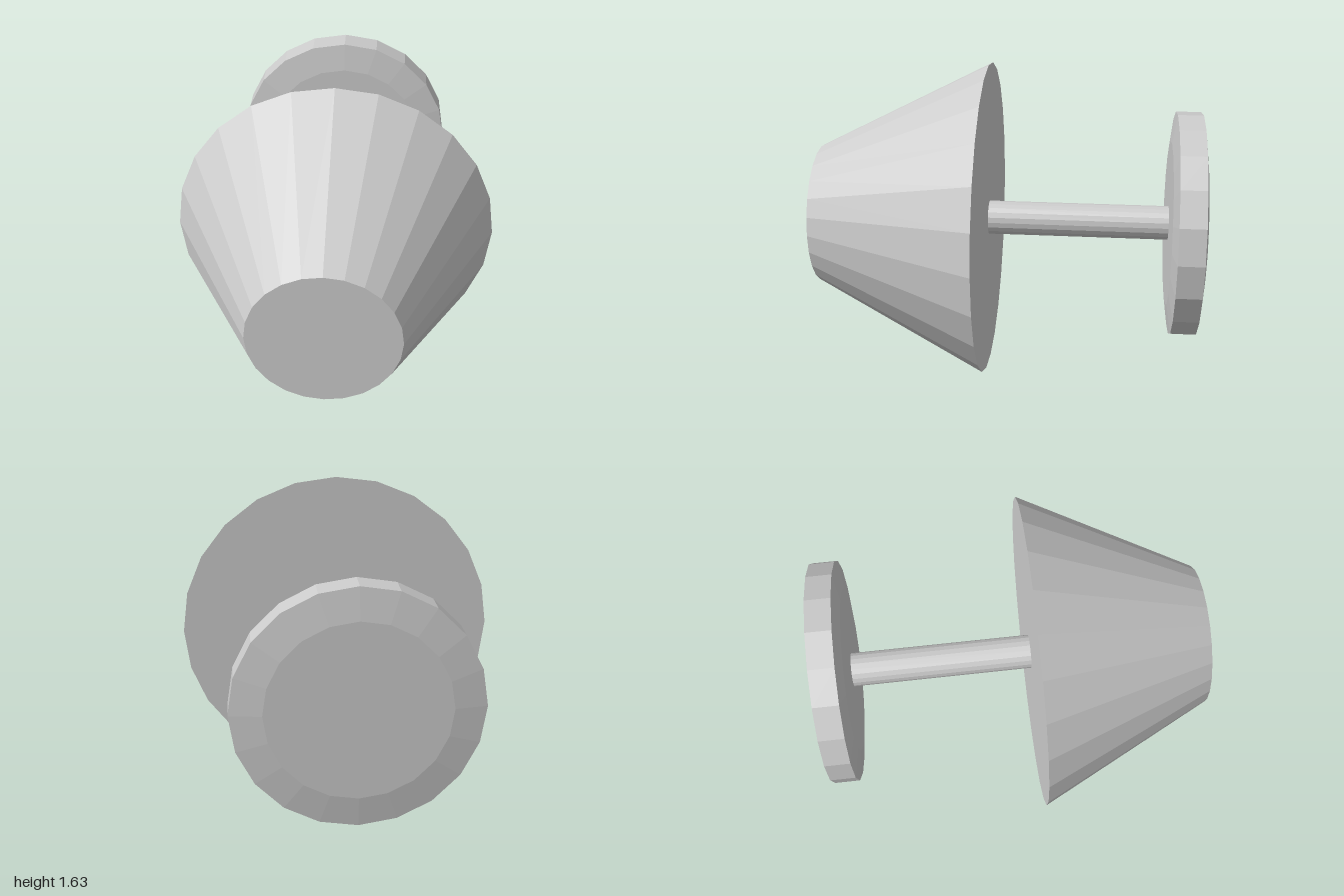
import * as THREE from 'three';

const AXIS_Y = 0.815; // height of the shared axis

export function createModel() {
  const group = new THREE.Group();
  const material = new THREE.MeshStandardMaterial({ color: 0xcccccc, flatShading: true });

  // Turn a part's own axis from y to z, so its top faces the front
  const add = (name, geometry, z) => {
    geometry.rotateX(Math.PI / 2);
    const mesh = new THREE.Mesh(geometry, material);
    mesh.name = name;
    mesh.position.set(0, AXIS_Y, z);
    group.add(mesh);
  };

  // Tapered head, narrow end forward
  add('taperedHead', new THREE.CylinderGeometry(0.365, 0.815, 0.89, 24), 0.555);

  // Thin rod joining head and disc
  add('rod', new THREE.CylinderGeometry(0.088, 0.088, 0.94, 20), -0.36);

  // Disc with a shallow bevel on both faces
  const profile = [
    [0, -0.086], [0.43, -0.086], [0.582, -0.065],
    [0.582, 0.065], [0.43, 0.086], [0, 0.086],
  ].map(([r, y]) => new THREE.Vector2(r, y));
  add('bevelledDisc', new THREE.LatheGeometry(profile, 20), -0.914);

  return group;
}
